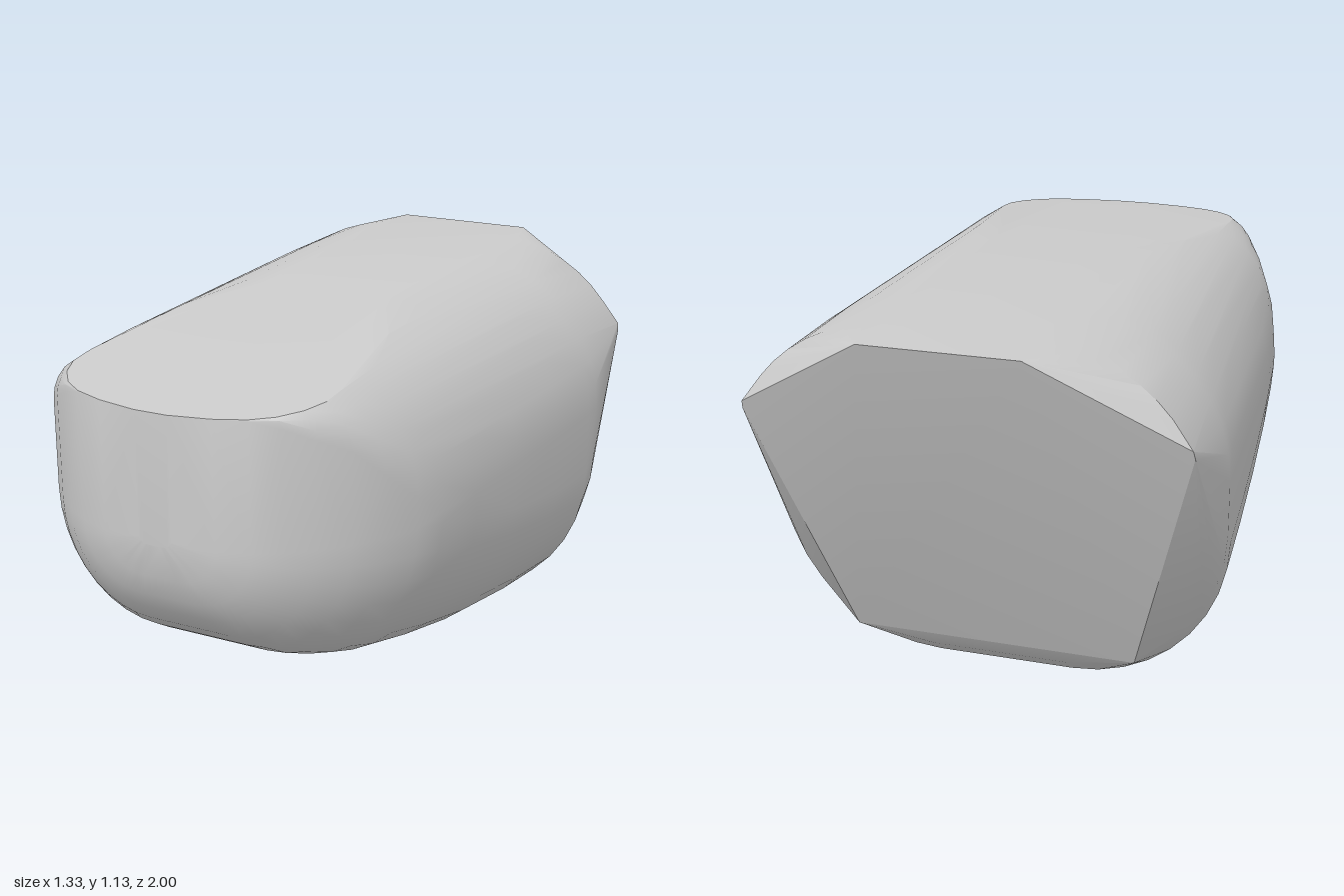
import * as THREE from 'three';
import { ConvexGeometry } from 'three/addons/geometries/ConvexGeometry.js';
import { toCreasedNormals } from 'three/addons/utils/BufferGeometryUtils.js';

const TOP = 1.13;
const STEPS = 9;

// Cross-sections from back to nose: z, half width, bottom, upper corner height
const stations = [
  [-0.55, 0.665, 0.05, 0.45],
  [-0.49, 0.662, 0.0, 0.45],
  [-0.25, 0.648, 0.025, 0.45],
  [0.04, 0.63, 0.07, 0.45],
  [0.3, 0.613, 0.13, 0.45],
  [0.5, 0.597, 0.185, 0.44],
  [0.6, 0.57, 0.22, 0.37],
  [0.7, 0.52, 0.262, 0.28],
  [0.78, 0.465, 0.31, 0.2],
  [0.85, 0.4, 0.365, 0.16],
  [0.91, 0.33, 0.43, 0.12],
  [0.95, 0.26, 0.49, 0.1],
  [0.98, 0.17, 0.56, 0.1],
  [1.0, 0.05, 0.66, 0.1],
];

// Roof is level at the back and slopes down towards the nose
const roof = (z) => TOP - 0.104 * Math.max(0, z - 0.04);

export function createModel() {
  const points = [];
  const addPair = (x, y, z) => {
    for (const side of [-1, 1]) points.push(new THREE.Vector3(side * x, y, z));
  };

  // Rounded cross-sections, their upper corners trimmed by the roof
  for (const [z, w, bottom, cornerTop] of stations) {
    const flat = w * 0.31;
    const cornerBottom = Math.max(0.02, Math.min(0.47, 0.67 - bottom));
    for (let i = 0; i <= STEPS; i++) {
      const a = (i / STEPS) * Math.PI / 2;
      const x = flat + (w - flat) * Math.cos(a);
      addPair(x, Math.min(roof(z), TOP - cornerTop + cornerTop * Math.sin(a)), z);
      addPair(x, bottom + cornerBottom * (1 - Math.sin(a)), z);
    }
    // Roof centre keeps the trimmed edge crisp
    points.push(new THREE.Vector3(0, roof(z), z));
  }

  // Rounded shoulders running back to the slanted end
  for (let i = 0; i <= STEPS; i++) {
    const a = THREE.MathUtils.lerp(0.4, Math.PI / 2, i / STEPS);
    addPair(0.205 + 0.46 * Math.cos(a), 0.68 + 0.45 * Math.sin(a), -0.84);
  }

  // Corners of the slanted back face
  addPair(0.22, TOP, -1);
  addPair(0.625, 0.88, -0.85);
  addPair(0.42, 0.11, -0.6);

  const group = new THREE.Group();
  const geometry = toCreasedNormals(new ConvexGeometry(points), 0.42);
  const body = new THREE.Mesh(geometry, new THREE.MeshStandardMaterial({ color: 0xcccccc }));
  body.name = 'body';
  group.add(body);
  return group;
}
